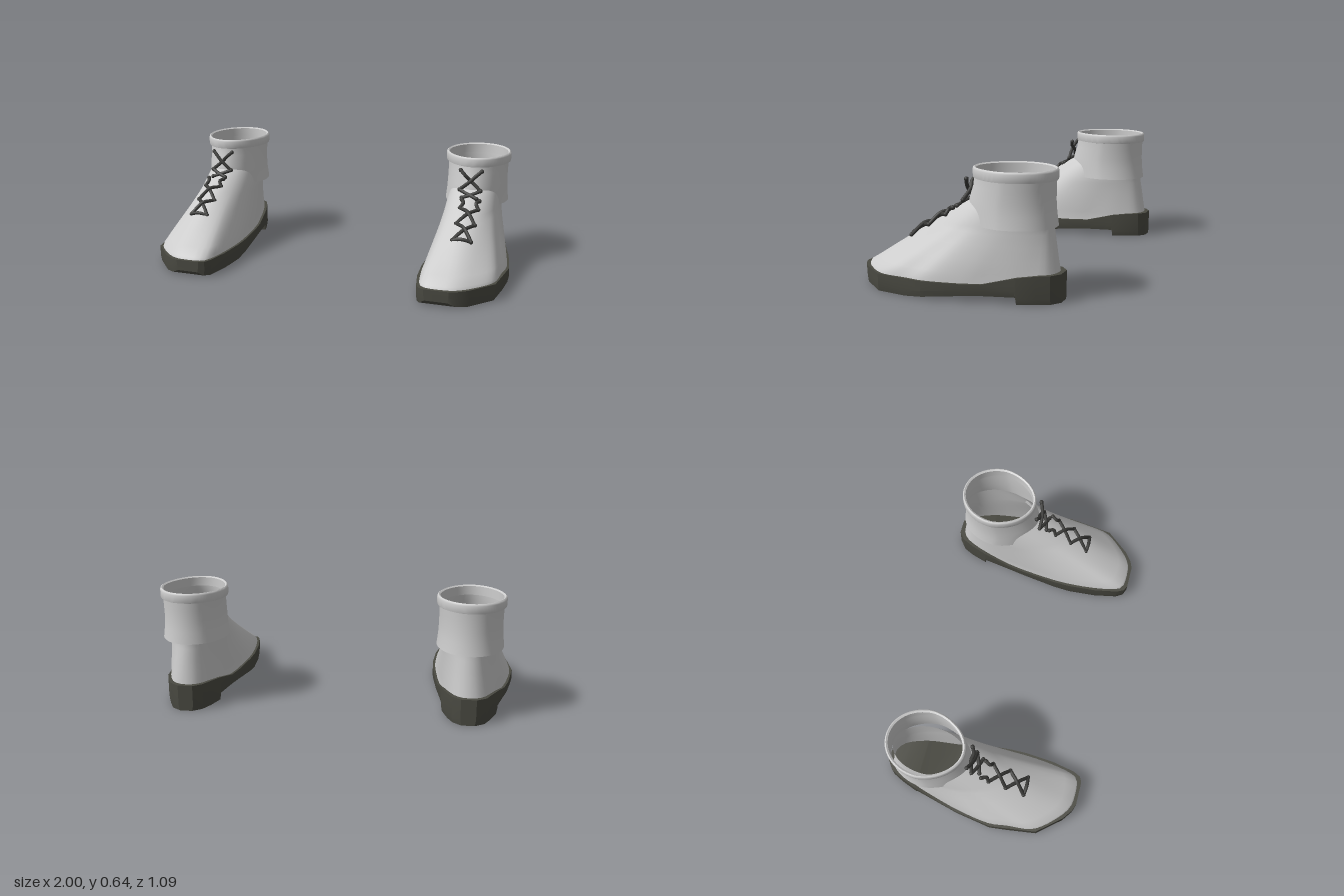
import * as THREE from 'three';
import { toCreasedNormals } from 'three/addons/utils/BufferGeometryUtils.js';

const leather = new THREE.MeshStandardMaterial({ color: 0xcccccc, side: THREE.DoubleSide });
leather.name = 'light grey leather';
const rubber = new THREE.MeshStandardMaterial({ color: 0x4a4a42 });
rubber.name = 'dark olive rubber';
const cord = new THREE.MeshStandardMaterial({ color: 0x3a3a38 });
cord.name = 'charcoal lace';

// Sole stations from toe to heel: z, inner x, outer x, top y, bottom y
const STATIONS = [
  [0.545, 0.63, 0.76, 0.09, 0.03], [0.53, 0.6, 0.8, 0.09, 0.01], [0.49, 0.58, 0.855, 0.09, 0.002],
  [0.36, 0.555, 0.965, 0.09, 0], [0.2, 0.543, 0.987, 0.09, 0], [0.1, 0.545, 1, 0.09, 0.01],
  [-0.1, 0.565, 0.97, 0.09, 0.03], [-0.2, 0.58, 0.945, 0.093, 0.035], [-0.355, 0.605, 0.905, 0.13, 0.035],
  [-0.36, 0.606, 0.904, 0.131, 0], [-0.45, 0.635, 0.87, 0.141, 0], [-0.51, 0.665, 0.84, 0.142, 0],
  [-0.545, 0.71, 0.79, 0.142, 0],
];

// Skin a stack of closed rings; side = -1 mirrors it in x and keeps faces outward
function loft(rings, side, caps = false) {
  const n = rings[0].length, position = [], index = [];
  const tri = (a, b, c) => (side > 0 ? index.push(a, b, c) : index.push(a, c, b));
  rings.forEach(r => r.forEach(p => position.push(p[0] * side, p[1], p[2])));
  for (let i = 0; i < rings.length - 1; i++) {
    for (let j = 0; j < n; j++) {
      const a = i * n + j, b = i * n + (j + 1) % n;
      tri(a, a + n, b);
      tri(b, a + n, b + n);
    }
  }
  if (caps) {
    const e = (rings.length - 1) * n;
    for (let j = 1; j < n - 1; j++) {
      tri(0, j, j + 1);
      tri(e, e + j + 1, e + j);
    }
  }
  const g = new THREE.BufferGeometry();
  g.setAttribute('position', new THREE.Float32BufferAttribute(position, 3));
  g.setIndex(index);
  g.computeVertexNormals();
  return g;
}

// Foot outline, running from the outer heel round the toe to the inner heel
const kept = STATIONS.filter((s, i) => i !== 9);
const outline = new THREE.CatmullRomCurve3([
  ...[...kept].reverse().map(s => new THREE.Vector3(s[2], 0, s[0])),
  ...kept.map(s => new THREE.Vector3(s[1], 0, s[0])),
], true, 'centripetal').getSpacedPoints(72).slice(0, 72);

// Horizontal ring: k blends the foot outline into an oval, taper narrows its front
function ring([y, front, back, half, k], taper = 0) {
  const cx = 0.765 - 0.018 * k, mid = (front + back) / 2, len = (front - back) / 2;
  return outline.map(p => {
    const u = (p.x - 0.765) / 0.225, v = p.z / 0.545, a = Math.atan2(v, u);
    const oval = Math.cos(a) * (1 - taper * Math.max(0, Math.sin(a)));
    return [
      cx + half * THREE.MathUtils.lerp(u, oval, k), y,
      mid + len * THREE.MathUtils.lerp(v, Math.sin(a), k),
    ];
  });
}

// Height, front z, back z, half width, ovalness
const UPPER = [
  [0.08, 0.528, -0.525, 0.212, 0], [0.105, 0.515, -0.522, 0.208, 0], [0.14, 0.458, -0.518, 0.2, 0.1],
  [0.2, 0.365, -0.51, 0.185, 0.35], [0.27, 0.255, -0.502, 0.166, 0.65], [0.33, 0.158, -0.494, 0.153, 0.9],
  [0.36, 0.11, -0.49, 0.148, 1], [0.43, 0, -0.486, 0.138, 1], [0.48, -0.085, -0.485, 0.128, 1],
];
const SHAFT = [
  [0.36, -0.05, -0.507, 0.178, 1], [0.42, -0.05, -0.499, 0.171, 1], [0.48, -0.058, -0.495, 0.168, 1],
  [0.54, -0.078, -0.495, 0.168, 1], [0.59, -0.085, -0.497, 0.17, 1],
];
// Collar cross-section: height, half width
const COLLAR = [
  [0.582, 0.168], [0.584, 0.18], [0.59, 0.182], [0.625, 0.182], [0.633, 0.179],
  [0.636, 0.174], [0.63, 0.165], [0.582, 0.164],
].map(([y, w]) => [y, -0.261 + w, -0.324 - w, w, 1]);

// Lace paths in outer-foot coordinates
function lacePaths() {
  const paths = [], rows = [0.25, 0.15, 0.055], cx = 0.762;
  const vamp = (dx, z, lift) => [cx + dx, 0.428 - 0.62 * z + lift, z];
  for (const s of [-1, 1]) {
    // crosses over the instep
    for (let i = 0; i < rows.length - 1; i++) {
      const m = (rows[i] + rows[i + 1]) / 2;
      paths.push([vamp(s * 0.05, rows[i], -0.008), vamp(0, m, 0.013 + s * 0.006), vamp(-s * 0.05, rows[i + 1], -0.008)]);
    }
    // loose ends
    paths.push([vamp(s * 0.05, 0.055, -0.008), vamp(s * 0.035, 0.04, 0.012), vamp(s * 0.048, 0.015, 0.004)]);
    // cross on the ankle
    paths.push([
      [0.747 + s * 0.058, 0.57, -0.058], [0.747 + s * 0.03, 0.545, -0.045],
      [0.747, 0.515, -0.045 + s * 0.008], [0.747 - s * 0.058, 0.465, -0.038],
    ]);
    paths.push([[0.747 + s * 0.058, 0.465, -0.038], [0.75 + s * 0.02, 0.45, -0.02], [0.75 - s * 0.04, 0.43, 0.0]]);
  }
  paths.push([vamp(-0.05, 0.25, -0.008), vamp(0, 0.255, 0.006), vamp(0.05, 0.25, -0.008)]);
  return paths;
}

function makeBoot(side) {
  const boot = new THREE.Group();
  const add = (name, geometry, material) => {
    const mesh = new THREE.Mesh(geometry, material);
    mesh.name = name;
    boot.add(mesh);
  };

  // Sole with raised arch and stepped heel
  const sections = STATIONS.map(([z, a, b, top, bottom]) =>
    [[b - 0.006, bottom, z], [b, bottom + 0.03, z], [b, top, z], [a, top, z], [a, bottom + 0.03, z], [a + 0.006, bottom, z]]);
  add('sole', toCreasedNormals(loft(sections, side, true), 0.35), rubber);

  // Leather parts
  add('upper', loft(UPPER.map(r => ring(r)), side), leather);
  add('ankleShaft', loft(SHAFT.map(r => ring(r, 0.16)), side), leather);
  add('collar', toCreasedNormals(loft(COLLAR.map(r => ring(r, 0.1)), side), 0.7), leather);

  // Laces with small rounded ends
  const laces = new THREE.Group();
  laces.name = 'laces';
  for (const path of lacePaths()) {
    const pts = path.map(p => new THREE.Vector3(p[0] * side, p[1], p[2]));
    const lace = new THREE.Mesh(new THREE.TubeGeometry(new THREE.CatmullRomCurve3(pts), 12, 0.01, 8), cord);
    lace.name = 'lace';
    laces.add(lace);
    for (const p of [pts[0], pts[pts.length - 1]]) {
      const end = new THREE.Mesh(new THREE.SphereGeometry(0.012, 8, 6), cord);
      end.name = 'laceEnd';
      end.position.copy(p);
      laces.add(end);
    }
  }
  boot.add(laces);
  return boot;
}

export function createModel() {
  const model = new THREE.Group();
  model.name = 'bootPair';
  for (const [name, side] of [['leftBoot', 1], ['rightBoot', -1]]) {
    const boot = makeBoot(side);
    boot.name = name;
    model.add(boot);
  }
  return model;
}
